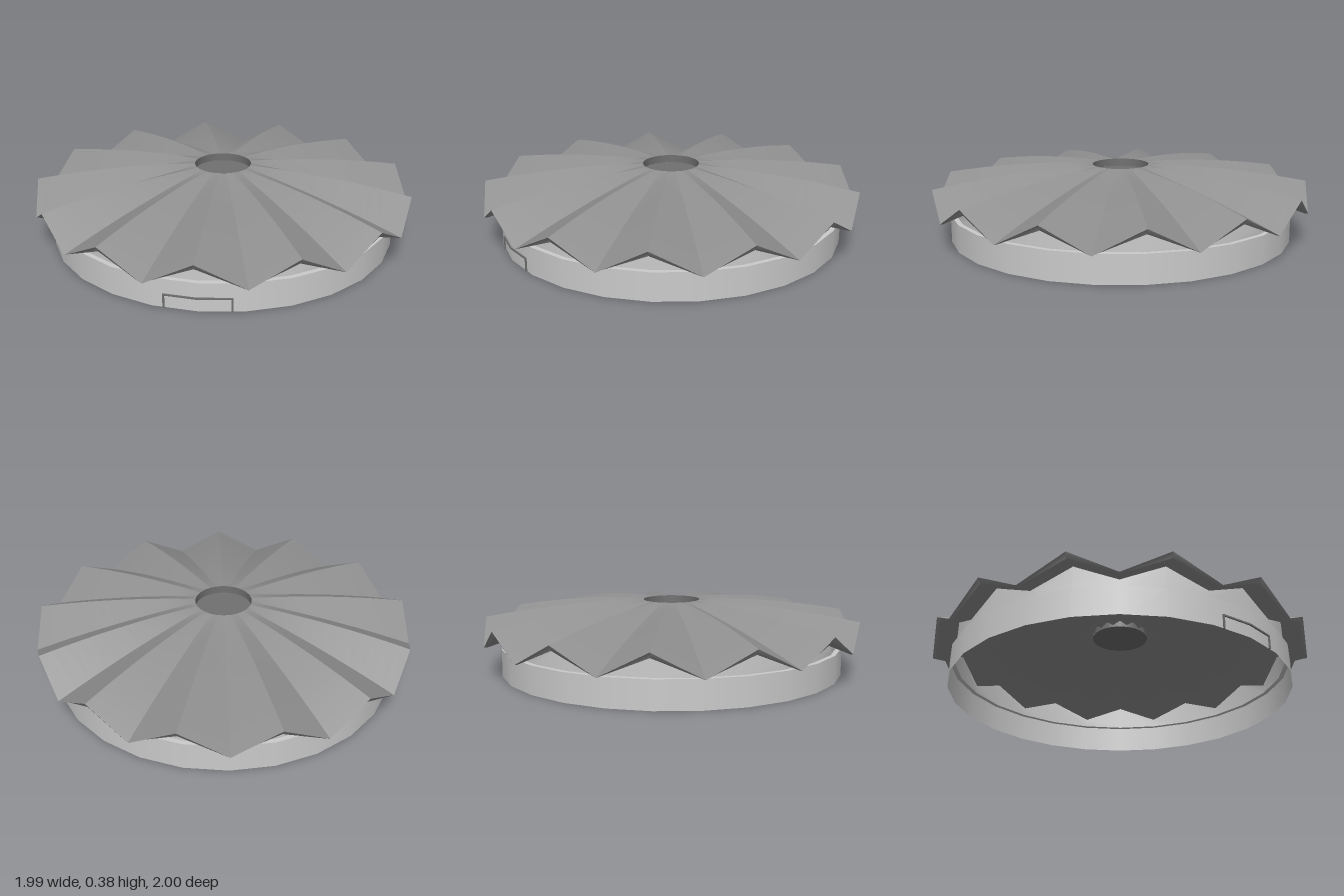
import * as THREE from 'three';

const SIDES = 26; // 13 ridges and 13 valleys, a ridge at the front
const STEP = (Math.PI * 2) / SIDES;
const HUB_R = 0.15;

const makeMaterial = (color) => new THREE.MeshStandardMaterial({ color, side: THREE.DoubleSide });
const wallMaterial = makeMaterial(0xcccccc);
const roofMaterial = makeMaterial(0x909090);
const trimMaterial = makeMaterial(0x707070);

// Ridges follow a shallow dome; the pleats deepen from the hub outwards
const ridgeY = (r) => 0.378 - 0.095 * r * r;
const pleatDepth = (r) => 0.123 * Math.pow((r - HUB_R) / (1 - HUB_R), 0.9);
const topRing = (r) => ({ r, ridge: ridgeY(r), valley: ridgeY(r) - pleatDepth(r) });

// The lower skin hangs deeper under the ridges than under the valleys
function lowerRing(r) {
  const { ridge, valley } = topRing(r);
  return { r, ridge: ridge - 0.03, valley: valley - 0.006 };
}

// Rings of { r, ridge, valley } joined into strips; sharp folds keep each strip separate
function pleatedBand(rings, sharpFolds) {
  const positions = [];
  const index = [];
  const addColumn = (i) => {
    for (const { r, ridge, valley } of rings) {
      positions.push(r * Math.sin(i * STEP), i % 2 ? valley : ridge, r * Math.cos(i * STEP));
    }
  };
  const n = rings.length;
  if (!sharpFolds) for (let i = 0; i < SIDES; i++) addColumn(i);
  for (let i = 0; i < SIDES; i++) {
    let a = i * n;
    let b = ((i + 1) % SIDES) * n;
    if (sharpFolds) {
      a = positions.length / 3;
      b = a + n;
      addColumn(i);
      addColumn(i + 1);
    }
    for (let j = 0; j < n - 1; j++) {
      index.push(a + j, a + j + 1, b + j, a + j + 1, b + j + 1, b + j);
    }
  }
  const geometry = new THREE.BufferGeometry();
  geometry.setAttribute('position', new THREE.Float32BufferAttribute(positions, 3));
  geometry.setIndex(index);
  geometry.computeVertexNormals();
  return geometry;
}

function addMesh(parent, name, geometry, material, x = 0, y = 0, z = 0) {
  const mesh = new THREE.Mesh(geometry, material);
  mesh.name = name;
  mesh.position.set(x, y, z);
  parent.add(mesh);
  return mesh;
}

export function createModel() {
  const model = new THREE.Group();
  model.name = 'pleatedRoofBuilding';

  // Pleated roof: upper skin, undercut rim and lower skin
  const roof = new THREE.Group();
  roof.name = 'pleatedRoof';
  model.add(roof);
  const top = [];
  const bottom = [];
  const count = 14;
  for (let i = 0; i <= count; i++) {
    const t = i / count;
    top.push(topRing(HUB_R + (1 - HUB_R) * t));
    bottom.unshift(lowerRing(HUB_R + (0.985 - HUB_R) * t));
  }
  addMesh(roof, 'roofTop', pleatedBand(top, true), roofMaterial);
  addMesh(roof, 'roofRim', pleatedBand([top[count], bottom[0]], true), roofMaterial);
  addMesh(roof, 'roofUnderside', pleatedBand(bottom, true), roofMaterial);

  // Recessed centre disc
  const hubTop = 0.376;
  const hubFloor = 0.335;
  const hubWall = new THREE.CylinderGeometry(HUB_R, HUB_R, hubTop - hubFloor, SIDES, 1, true);
  addMesh(roof, 'hubWall', hubWall, trimMaterial, 0, (hubTop + hubFloor) / 2, 0);
  const disc = new THREE.CircleGeometry(HUB_R, SIDES).rotateX(-Math.PI / 2);
  addMesh(roof, 'hubDisc', disc, trimMaterial, 0, hubFloor, 0);

  // Open drum with a narrow ledge and a wall rising to the pleats
  const drumR = 0.91;
  const wallR = 0.885;
  const drumH = 0.145;
  const drum = new THREE.CylinderGeometry(drumR, drumR, drumH, SIDES, 1, true);
  addMesh(model, 'drum', drum, wallMaterial, 0, drumH / 2, 0);
  const ledge = new THREE.RingGeometry(wallR, drumR, SIDES, 1, Math.PI / 2);
  addMesh(model, 'drumLedge', ledge.rotateX(-Math.PI / 2), wallMaterial, 0, drumH, 0);
  const wallFoot = { r: wallR, ridge: drumH, valley: drumH };
  addMesh(model, 'upperWall', pleatedBand([lowerRing(wallR), wallFoot], false), wallMaterial);

  // Thin door frame on the two front facets
  const door = new THREE.Group();
  door.name = 'doorFrame';
  model.add(door);
  const half = 0.163;
  const height = 0.071;
  const bar = 0.008;
  const depth = 0.014;
  const turn = STEP / 2;
  const facetZ = (x) => drumR - x * Math.tan(turn);
  for (const side of [-1, 1]) {
    const lintel = new THREE.BoxGeometry(half / Math.cos(turn), bar, depth);
    addMesh(door, 'doorLintel', lintel, trimMaterial, side * half / 2, height - bar / 2, facetZ(half / 2))
      .rotation.y = side * turn;
    const jamb = new THREE.BoxGeometry(bar, height, depth);
    addMesh(door, 'doorJamb', jamb, trimMaterial, side * (half - bar / 2), height / 2, facetZ(half - bar / 2))
      .rotation.y = side * turn;
  }
  return model;
}
